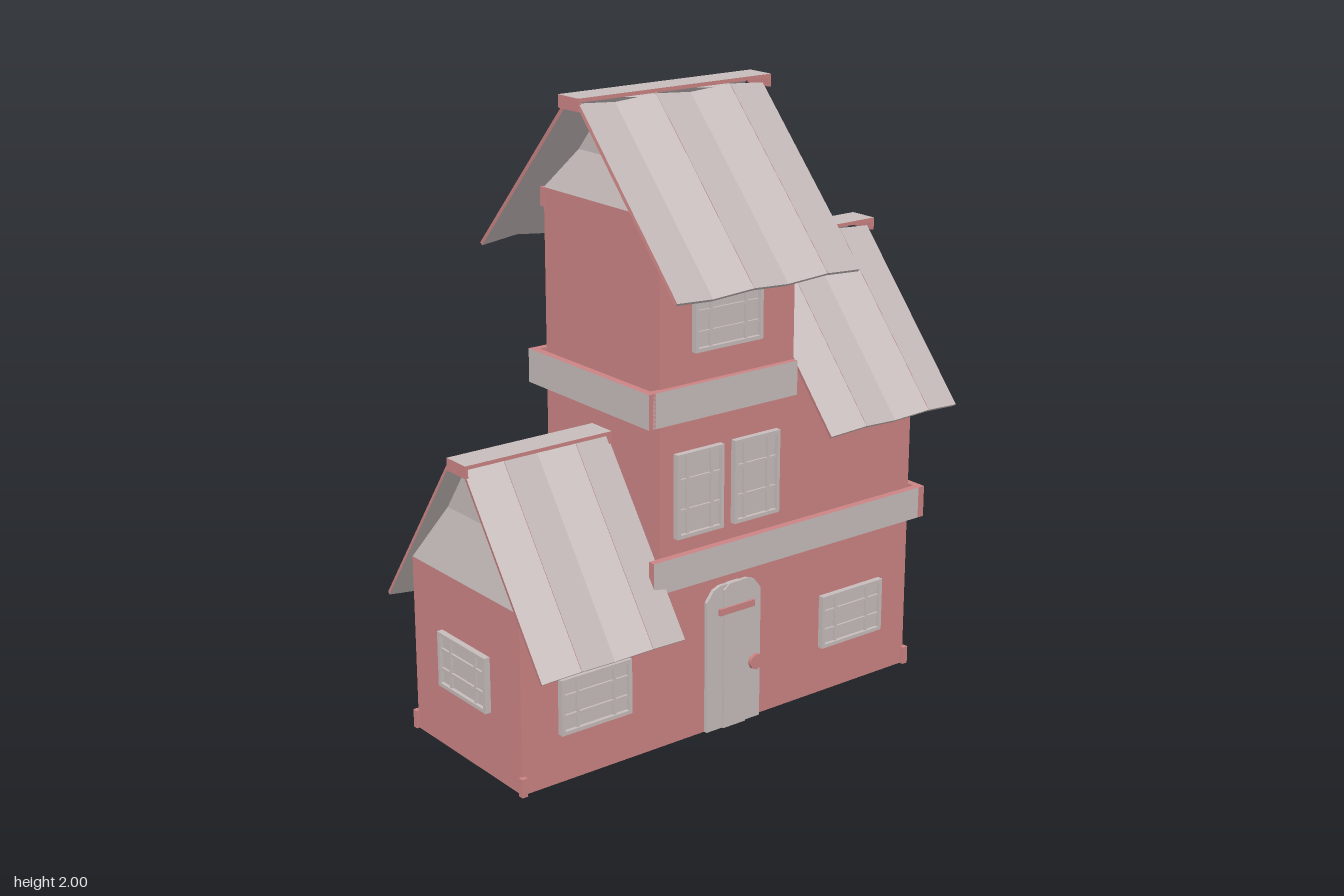
import * as THREE from 'three';

export function createModel() {
  const model = new THREE.Group();
  model.name = 'house';
  const wallMat = new THREE.MeshStandardMaterial({ color: 0xcc8484 });
  wallMat.name = 'wall pink';
  const trimMat = new THREE.MeshStandardMaterial({ color: 0xc6bcbb });
  trimMat.name = 'trim grey';
  const gableMat = trimMat.clone();
  gableMat.name = 'gable grey';
  gableMat.side = THREE.DoubleSide;

  const add = (name, geo, mat, x, y, z, parent = model) => {
    const m = new THREE.Mesh(geo, mat);
    m.name = name;
    m.position.set(x, y, z);
    parent.add(m);
    return m;
  };
  const box = (name, w, h, d, mat, x, y, z, parent) =>
    add(name, new THREE.BoxGeometry(w, h, d), mat, x, y, z, parent);

  // Hollow walls, open at the bottom
  const X = 0.29, T = 0.012;
  const sideWalls = (name, z0, z1, y0, y1) => {
    for (const s of [-1, 1])
      box(name, T, y1 - y0, z1 - z0, wallMat, s * (X - T / 2), (y0 + y1) / 2, (z0 + z1) / 2);
  };
  const crossWall = (name, z, y0, y1) =>
    box(name, 2 * (X - T), y1 - y0, T, wallMat, 0, (y0 + y1) / 2, z);
  sideWalls('frontBlockSide', 0.27, 0.785, 0, 0.58);
  sideWalls('towerSide', -0.25, 0.27, 0, 1.67);
  sideWalls('backBlockSide', -0.76, -0.25, 0, 1.13);
  crossWall('frontBlockFront', 0.785 - T / 2, 0, 0.58);
  crossWall('towerFront', 0.27 - T / 2, 0, 1.67);
  crossWall('towerBack', -0.25 + T / 2, 1.13, 1.67);
  crossWall('backBlockBack', -0.76 + T / 2, 0, 1.13);

  // Small tabs on the wall corners
  for (const s of [-1, 1])
    for (const [y, z] of [[0.03, 0.785], [0.03, -0.76], [1.64, 0.265], [1.64, -0.245]])
      box('cornerTab', 0.018, 0.06, 0.02, wallMat, s * 0.295, y, z);

  // Gables: a leaning lower strip and an upright upper strip
  const gable = (z, dir, y0, y1, y2, lean) => {
    const top = 0.03, mid = X + (top - X) * (y1 - y0) / (y2 - y0);
    const rows = [[X, y0, z], [mid, y1, z - dir * lean], [top, y2, z - dir * lean]];
    const pos = [];
    for (let i = 0; i < 2; i++) {
      const [a, ya, za] = rows[i], [b, yb, zb] = rows[i + 1];
      const p = [[-a, ya, za], [a, ya, za], [b, yb, zb], [-b, yb, zb]];
      const order = dir > 0 ? [0, 1, 2, 0, 2, 3] : [0, 2, 1, 0, 3, 2];
      for (const k of order) pos.push(...p[k]);
    }
    const g = new THREE.BufferGeometry();
    g.setAttribute('position', new THREE.Float32BufferAttribute(pos, 3));
    g.computeVertexNormals();
    add('gable', g, gableMat, 0, 0, 0);
  };
  gable(0.785, 1, 0.58, 0.77, 0.95, 0.05);
  gable(0.27, 1, 1.67, 1.8, 1.96, 0.05);
  gable(-0.25, -1, 1.67, 1.8, 1.96, 0.05);
  gable(-0.76, -1, 1.13, 1.28, 1.44, 0.01);

  // Roofs: tilted boards on both slopes, ridge plate with end tabs
  const boardMats = [trimMat, trimMat, trimMat, trimMat, wallMat, wallMat];
  const capMats = [wallMat, wallMat, trimMat, wallMat, wallMat, wallMat];
  const roof = (name, z0, z1, ridge, eaveX, eaveY, n, capZ0, capZ1, capY) => {
    const g = new THREE.Group();
    g.name = name;
    model.add(g);
    const ridgeX = 0.035, dx = eaveX - ridgeX, dy = eaveY - ridge;
    const len = Math.hypot(dx, dy), w = (z1 - z0) / n;
    for (const s of [-1, 1]) {
      const slope = new THREE.Group();
      slope.name = 'roofSlope';
      slope.position.set(s * (ridgeX + eaveX) / 2, (ridge + eaveY) / 2, 0);
      slope.rotation.z = s * Math.atan2(dy, dx);
      g.add(slope);
      for (let i = 0; i < n; i++) {
        const b = box('roofBoard', len, 0.012, w * 1.01, boardMats, 0, 0, z0 + (i + 0.5) * w, slope);
        b.rotation.x = (i % 2 ? 1 : -1) * s * 0.13;
      }
    }
    box('ridgeCap', 0.1, 0.012, capZ1 - capZ0, capMats, 0, capY - 0.006, (capZ0 + capZ1) / 2, g);
    for (const z of [capZ0 + 0.005, capZ1 - 0.005])
      box('ridgeEndTab', 0.1, 0.035, 0.01, wallMat, 0, capY - 0.022, z, g);
  };
  roof('frontRoof', 0.275, 0.795, 0.955, 0.42, 0.41, 4, 0.27, 0.8, 0.97);
  roof('towerRoof', -0.33, 0.375, 1.975, 0.495, 1.475, 5, -0.35, 0.38, 2.0);
  roof('backRoof', -0.785, -0.255, 1.46, 0.47, 0.955, 4, -0.8, -0.25, 1.485);

  // Bands: plates with a grey outer face and pink edges
  const band = (name, halfW, z0, z1, y, h, ends) => {
    for (const s of [-1, 1]) {
      const mats = Array(6).fill(wallMat);
      mats[s > 0 ? 0 : 1] = trimMat;
      box(name, 0.025, h, z1 - z0, mats, s * (halfW - 0.0125), y, (z0 + z1) / 2);
    }
    for (const [z, dir] of ends) {
      const mats = Array(6).fill(wallMat);
      mats[dir > 0 ? 4 : 5] = trimMat;
      box(name, 2 * halfW, h, 0.025, mats, 0, y, z - dir * 0.0125);
    }
  };
  band('upperBand', 0.31, -0.25, 0.31, 1.105, 0.11, [[0.325, 1]]);
  band('lowerBand', 0.325, -0.78, 0.32, 0.58, 0.105, [[-0.8, -1]]);

  // Places a group on a wall: the given angle turns its front outwards
  const onWall = (name, x, y, z, angle) => {
    const g = new THREE.Group();
    g.name = name;
    g.position.set(x, y, z);
    g.rotation.y = angle;
    model.add(g);
    return g;
  };

  // Windows: pane, frame and a three by three lattice
  const windowAt = (x, y, z, angle, w = 0.26, h = 0.18) => {
    const g = onWall('window', x, y, z, angle);
    box('pane', w, h, 0.008, trimMat, 0, 0, 0.004, g);
    for (const s of [-1, 1]) {
      box('frameSide', 0.012, h, 0.02, trimMat, s * (w / 2 - 0.006), 0, 0.01, g);
      box('frameRail', w, 0.012, 0.02, trimMat, 0, s * (h / 2 - 0.006), 0.01, g);
      box('upright', 0.01, h, 0.015, trimMat, s * w * 0.26, 0, 0.0075, g);
      box('crossbar', w, 0.01, 0.015, trimMat, 0, s * h * 0.18, 0.0075, g);
    }
  };
  const R = Math.PI / 2;
  windowAt(0, 0.3, 0.785, 0);
  windowAt(0, 0.25, -0.765, Math.PI);
  windowAt(0, 0.82, -0.765, Math.PI);
  windowAt(X, 0.25, 0.522, R);
  windowAt(X, 0.25, -0.508, R);
  windowAt(X, 0.815, 0.128, R, 0.18, 0.27);
  windowAt(X, 0.815, -0.095, R, 0.18, 0.27);
  windowAt(X, 1.345, 0.02, R);
  windowAt(-X, 0.25, 0.522, -R);
  windowAt(-X, 0.28, -0.49, -R, 0.18, 0.24);
  windowAt(-X, 0.82, -0.49, -R, 0.18, 0.26);
  windowAt(-X, 0.84, 0.01, -R);
  windowAt(-X, 1.345, 0.01, -R);

  // Door with chamfered top, raised middle plank, handle and slot
  const door = onWall('door', X, 0, -0.012, R);
  const panel = (name, w, yShoulder, yTop, depth) => {
    const s = new THREE.Shape([[-w, 0], [w, 0], [w, yShoulder], [w * 0.75, yTop - 0.01],
      [w * 0.5, yTop], [-w * 0.5, yTop], [-w * 0.75, yTop - 0.01], [-w, yShoulder]]
      .map(p => new THREE.Vector2(...p)));
    add(name, new THREE.ExtrudeGeometry(s, { depth, bevelEnabled: false }), trimMat, 0, 0, 0, door);
  };
  panel('doorPanel', 0.108, 0.44, 0.485, 0.012);
  panel('doorMiddlePlank', 0.045, 0.47, 0.487, 0.018);
  box('doorSlot', 0.14, 0.022, 0.008, wallMat, 0.005, 0.4, 0.02, door);
  const knob = add('doorKnob', new THREE.CylinderGeometry(0.026, 0.026, 0.02, 8), wallMat, 0.085, 0.195, 0.015, door);
  knob.rotation.x = R;

  return model;
}
